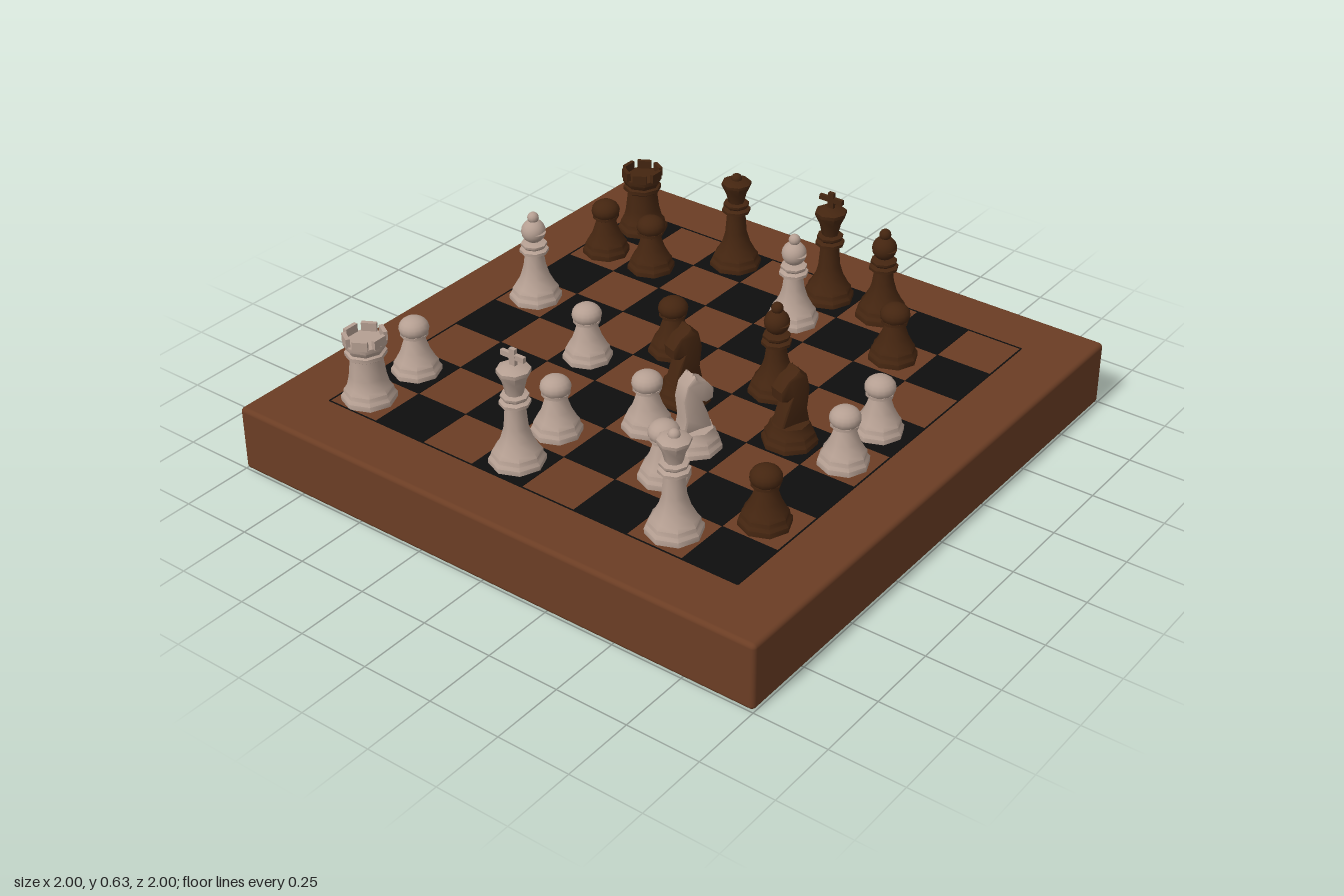
import * as THREE from 'three';
import { toCreasedNormals } from 'three/addons/utils/BufferGeometryUtils.js';
import { RoundedBoxGeometry } from 'three/addons/geometries/RoundedBoxGeometry.js';

const TOP = 0.23;

function material(name, color, side = THREE.FrontSide) {
  const m = new THREE.MeshStandardMaterial({ color, side });
  m.name = name;
  return m;
}

function add(parent, name, geometry, mat, x = 0, y = 0, z = 0) {
  const mesh = new THREE.Mesh(geometry, mat);
  mesh.name = name;
  mesh.position.set(x, y, z);
  parent.add(mesh);
  return mesh;
}

// eight-sided turned body from [radius, height] pairs, bottom to top
function turned(points) {
  const profile = points.map(([r, y]) => new THREE.Vector2(r, y));
  return toCreasedNormals(new THREE.LatheGeometry(profile, 8), 0.85);
}

// stepped foot shared by all pieces
const foot = (r) => [[0, 0], [r, 0], [r, 0.018], [r * 0.9, 0.028], [r * 0.88, 0.042], [r * 0.76, 0.056]];

// slender stem with two collars shared by bishop, queen and king
const stem = (h) => [
  ...foot(0.09), [0.05, 0.09], [0.038, 0.13], [0.032, h - 0.03], [0.05, h - 0.024], [0.05, h - 0.014],
  [0.036, h - 0.008], [0.045, h], [0.045, h + 0.008], [0.028, h + 0.012],
];

const builders = {
  pawn(g, mat) {
    add(g, 'body', turned([...foot(0.083), [0.048, 0.085], [0.033, 0.13], [0.046, 0.137],
      [0.046, 0.147], [0.028, 0.152], [0, 0.155]]), mat);
    add(g, 'head', new THREE.SphereGeometry(0.05, 16, 10), mat, 0, 0.165, 0).scale.y = 0.76;
  },

  rook(g, mat) {
    add(g, 'body', turned([...foot(0.09), [0.06, 0.09], [0.052, 0.155], [0.068, 0.165], [0.068, 0.178],
      [0.06, 0.183], [0.07, 0.2], [0.07, 0.215], [0.055, 0.215], [0, 0.215]]), mat);
    // battlements around the rim
    for (let i = 0; i < 6; i++) {
      const a = (i / 6) * Math.PI * 2;
      const block = add(g, 'battlement', new THREE.BoxGeometry(0.05, 0.032, 0.014), mat,
        Math.sin(a) * 0.061, 0.228, Math.cos(a) * 0.061);
      block.rotation.y = a;
    }
  },

  knight(g, mat) {
    add(g, 'base', turned([...foot(0.09), [0.062, 0.075], [0, 0.08]]), mat);
    const outline = [[-0.055, 0.06], [-0.042, 0.12], [-0.05, 0.19], [-0.038, 0.24], [-0.012, 0.265],
      [0, 0.25], [0.025, 0.238], [0.052, 0.205], [0.05, 0.175], [0.03, 0.168], [0.012, 0.175],
      [0.03, 0.13], [0.052, 0.06]];
    const shape = new THREE.Shape(outline.map(([x, y]) => new THREE.Vector2(x, y)));
    const head = new THREE.ExtrudeGeometry(shape, {
      depth: 0.036, bevelEnabled: true, bevelThickness: 0.012, bevelSize: 0.008, bevelOffset: -0.004, bevelSegments: 2,
    });
    add(g, 'horseHead', toCreasedNormals(head, 0.7), mat, 0, 0, -0.018);
    // ears
    for (const s of [-1, 1]) {
      add(g, 'ear', new THREE.ConeGeometry(0.012, 0.035, 6), mat, -0.014, 0.257, s * 0.015);
    }
  },

  bishop(g, mat) {
    add(g, 'body', turned([...stem(0.205), [0, 0.22]]), mat);
    // mitre with a wedge-shaped slit
    const gap = 0.3, r = 0.042;
    const mitre = new THREE.Group();
    mitre.name = 'mitre';
    const shell = new THREE.SphereGeometry(r, 16, 12, gap / 2, Math.PI * 2 - gap);
    add(mitre, 'shell', shell, mat);
    for (const s of [-1, 1]) {
      const cut = add(mitre, 'slitWall', new THREE.CircleGeometry(r, 12, Math.PI / 2, Math.PI), mat);
      cut.rotation.y = s * gap / 2;
    }
    mitre.rotation.set(Math.PI / 2, Math.PI * 0.75, 0, 'ZYX');
    mitre.rotation.set(-Math.PI / 2, Math.PI * 0.75, 0);
    mitre.position.y = 0.258;
    g.add(mitre);
    add(g, 'finial', new THREE.SphereGeometry(0.02, 12, 8), mat, 0, 0.308, 0);
  },

  queen(g, mat) {
    add(g, 'body', turned([...stem(0.235), [0.036, 0.28], [0.052, 0.312], [0.052, 0.322],
      [0.04, 0.33], [0, 0.336]]), mat);
    add(g, 'finial', new THREE.SphereGeometry(0.019, 12, 8), mat, 0, 0.336, 0);
  },

  king(g, mat) {
    add(g, 'body', turned([...stem(0.235), [0.038, 0.29], [0.054, 0.322], [0.054, 0.334],
      [0.03, 0.345], [0, 0.348]]), mat);
    add(g, 'crossPost', new THREE.BoxGeometry(0.014, 0.065, 0.022), mat, 0, 0.37, 0);
    add(g, 'crossArm', new THREE.BoxGeometry(0.0135, 0.018, 0.09), mat, 0, 0.377, 0);
  },
};

// [x, z] positions on the board
const light = {
  rook: [[-0.71, -0.71]],
  pawn: [[-0.5, -0.7], [-0.1, -0.31], [-0.5, -0.11], [-0.31, 0.1], [-0.5, 0.31], [-0.11, 0.7], [0.1, 0.69]],
  bishop: [[0.1, -0.7], [0.5, 0.09]],
  king: [[-0.7, -0.1]],
  knight: [[-0.31, 0.28]],
  queen: [[-0.7, 0.5]],
};
const dark = {
  rook: [[0.71, -0.71]],
  pawn: [[0.5, -0.71], [0.5, -0.51], [0.1, -0.11], [0.5, 0.49], [-0.51, 0.69]],
  bishop: [[0.1, 0.3], [0.71, 0.31]],
  king: [[0.7, 0.1]],
  knight: [[-0.11, 0.09], [-0.11, 0.5]],
  queen: [[0.7, -0.29]],
};

export function createModel() {
  const model = new THREE.Group();
  model.name = 'chessSet';
  const wood = material('board wood', 0x6b3d24);
  const black = material('black squares', 0x0e0e0e);
  const ivory = material('light pieces', 0xb59f92, THREE.DoubleSide);
  const walnut = material('dark pieces', 0x442510, THREE.DoubleSide);

  // board
  add(model, 'board', new RoundedBoxGeometry(2, TOP, 2, 3, 0.015), wood, 0, TOP / 2, 0);

  // dark squares inlaid on both faces
  const square = new THREE.BoxGeometry(0.2, 0.004, 0.2);
  for (let i = 0; i < 8; i++) {
    for (let j = 0; j < 8; j++) {
      if ((i + j) % 2 === 0) continue;
      for (const y of [TOP, 0]) add(model, 'darkSquare', square, black, -0.7 + i * 0.2, y, -0.7 + j * 0.2);
    }
  }

  // thin line around the playing field
  for (const s of [-1, 1]) {
    add(model, 'fieldLine', new THREE.BoxGeometry(1.6, 0.003, 0.005), black, 0, TOP, s * 0.8);
    add(model, 'fieldLine', new THREE.BoxGeometry(0.005, 0.003, 1.6), black, s * 0.8, TOP, 0);
  }

  // pieces
  for (const [set, mat, label, turn] of [[light, ivory, 'light', -0.35], [dark, walnut, 'dark', Math.PI - 0.35]]) {
    for (const [kind, spots] of Object.entries(set)) {
      for (const [x, z] of spots) {
        const piece = new THREE.Group();
        piece.name = `${label} ${kind}`;
        builders[kind](piece, mat);
        piece.position.set(x, TOP, z);
        if (kind === 'knight') piece.rotation.y = turn;
        model.add(piece);
      }
    }
  }
  return model;
}
